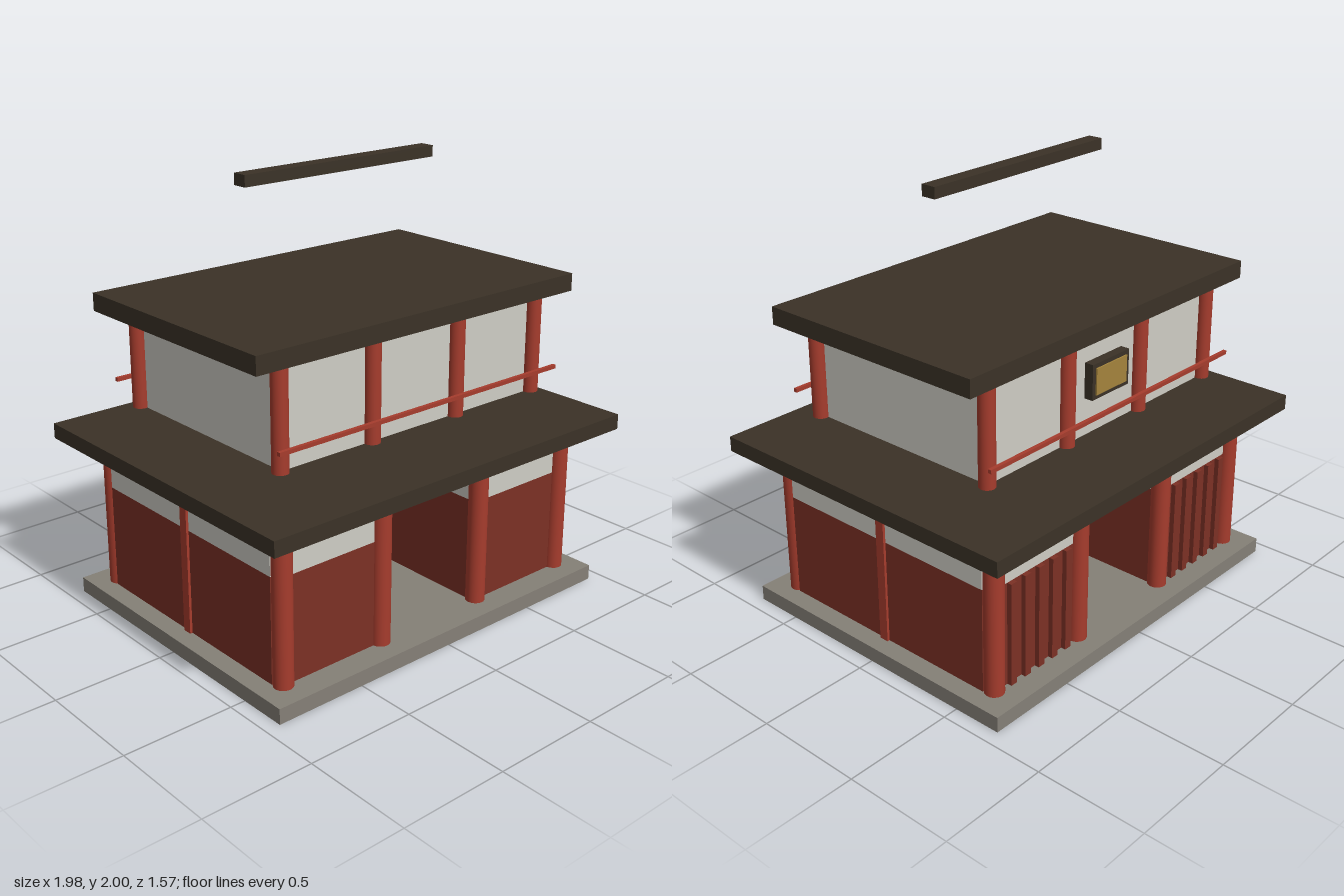
import * as THREE from 'three';

const mat = (name, color) => {
  const m = new THREE.MeshStandardMaterial({ color });
  m.name = name;
  return m;
};

export function createModel() {
  const red = mat('vermilion timber', 0xa63c2d);
  const boards = mat('dark red boards', 0x7c3025);
  const plaster = mat('plaster', 0xcfcdc5);
  const stone = mat('stone', 0x858077);
  const roof = mat('roof tile', 0x3b3227);
  const gold = mat('gold', 0xa5843c);

  const model = new THREE.Group();
  model.name = 'templeGate';

  const add = (name, geometry, material, x, y, z) => {
    const mesh = new THREE.Mesh(geometry, material);
    mesh.name = name;
    mesh.position.set(x, y, z);
    model.add(mesh);
  };
  // Box centred on x and z, spanning y0 to y1
  const box = (name, material, w, d, y0, y1, x = 0, z = 0) =>
    add(name, new THREE.BoxGeometry(w, y1 - y0, d), material, x, (y0 + y1) / 2, z);
  const column = (name, r, y0, y1, x, z) =>
    add(name, new THREE.CylinderGeometry(r, r, y1 - y0, 24), red, x, (y0 + y1) / 2, z);
  // Boards below, a plaster band above
  const wall = (name, w, d, x, z) => {
    box(name + 'Boards', boards, w, d, 0.07, 0.55, x, z);
    box(name + 'Plaster', plaster, w, d, 0.55, 0.685, x, z);
  };

  // Base and roof slabs
  box('stoneBase', stone, 1.86, 1.45, 0, 0.07);
  box('lowerRoof', roof, 1.98, 1.57, 0.76, 0.83);
  box('upperRoof', roof, 1.77, 1.12, 1.38, 1.46);
  box('roofRidge', roof, 1.04, 0.07, 1.95, 2);

  for (const s of [-1, 1]) {
    // Lower storey, left and right
    box('sideBeam', red, 0.064, 1.36, 0.695, 0.76, s * 0.81, 0);
    box('crossBeam', red, 0.053, 1.27, 0.7, 0.757, s * 0.285, 0);
    box('sidePost', red, 0.05, 0.044, 0.07, 0.76, s * 0.83, 0);
    column('passageColumn', 0.0435, 0.07, 0.7, s * 0.285, 0);
    wall('sideWall', 0.066, 1.134, s * 0.81, 0);
    wall('passageWall', 0.04, 1.16, s * 0.285, 0);

    // Lower and upper storeys, front and back
    box('longBeam', red, 1.77, 0.064, 0.695, 0.76, 0, s * 0.6);
    box('railing', red, 1.58, 0.017, 1.04, 1.057, 0, s * 0.565);
    for (const t of [-1, 1]) {
      wall('endWall', 0.48, 0.03, t * 0.55, s * 0.59);
      column('cornerColumn', 0.0435, 0.07, 0.7, t * 0.81, s * 0.6);
      column('gateColumn', 0.0435, 0.07, 0.7, t * 0.287, s * 0.6);
      column('upperCornerColumn', 0.036, 0.93, 1.38, t * 0.72, s * 0.487);
      column('upperInnerColumn', 0.036, 0.93, 1.38, t * 0.24, s * 0.487);
    }

    // Upright slats on the back walls
    for (let i = -2; i <= 2; i++)
      box('slat', boards, 0.035, 0.03, 0.07, 0.55, s * 0.55 + i * 0.085, -0.612);
  }

  // Upper storey walls
  box('upperWalls', plaster, 1.42, 0.96, 0.93, 1.38);

  // Plaque on the back
  box('plaqueFrame', roof, 0.24, 0.045, 1.1, 1.26, 0, -0.5);
  box('plaqueFace', gold, 0.2, 0.008, 1.12, 1.24, 0, -0.525);

  return model;
}
